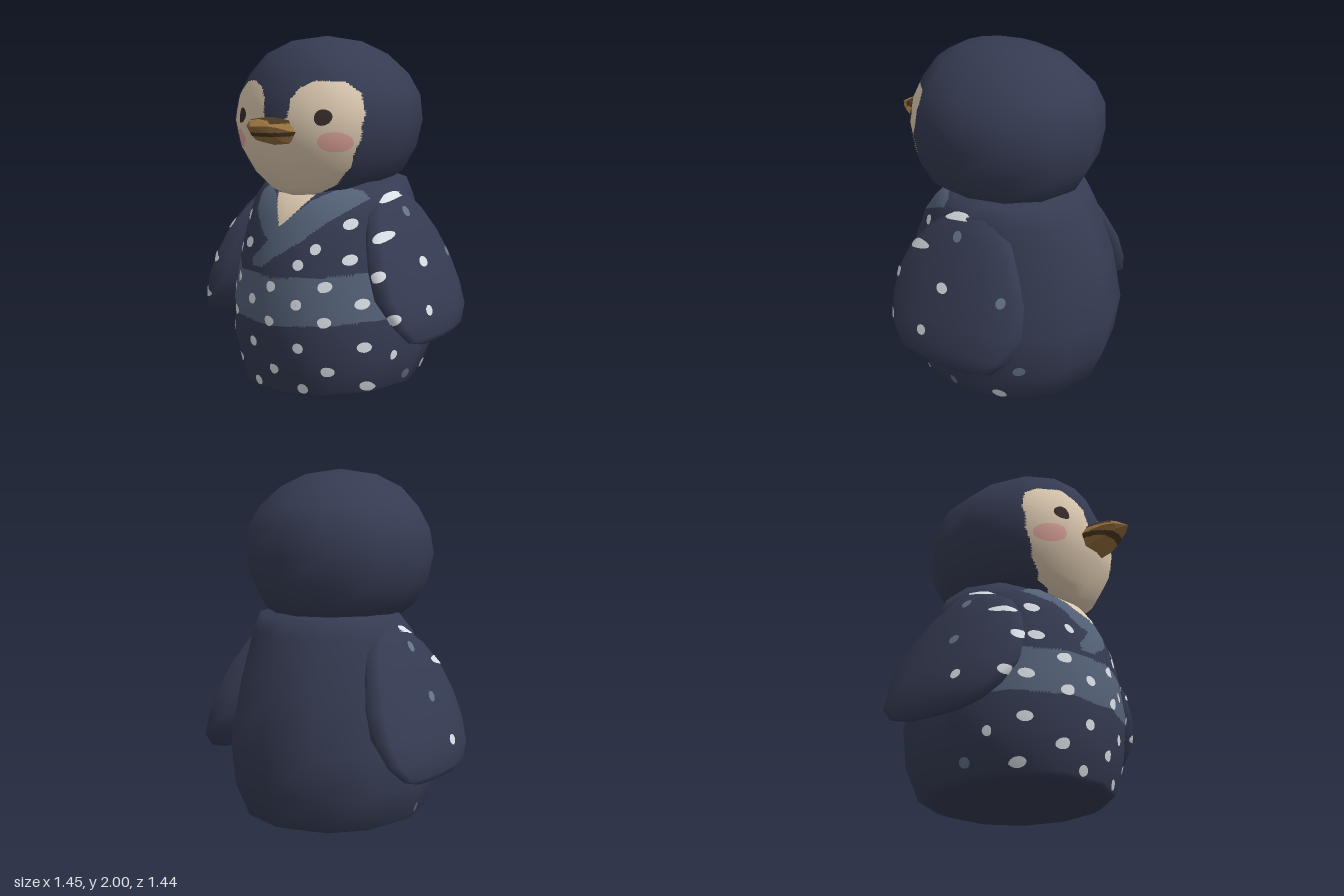
import * as THREE from 'three';

const mat = (name, color) => Object.assign(new THREE.MeshStandardMaterial({ color }), { name });
const navy = mat('navy', 0x353b52);
const sash = mat('slate blue', 0x546177);
const cream = mat('cream', 0xdcc9b0);
const white = mat('pale dot', 0xdde3ea);
const muted = mat('faded dot', 0x67738a);
const blush = mat('blush', 0xe0a59c);
const eyeBrown = mat('eye brown', 0x382d2b);
const beakDark = mat('dark beak', 0x4a3820);
const beakTan = mat('tan beak', 0x96703f);

// Closed loft of oval rings [y, centreX, halfWidth, zFront, zBack] between two poles;
// exponents below 1 make the front or back half of each oval fuller
function loft(rings, yBottom, yTop, { n = 12, flat = false, front = 1, back = 1 } = {}) {
  const pos = [], idx = [];
  for (const [y, cx, hx, zf, zb] of rings)
    for (let i = 0; i < n; i++) {
      const a = (i / n) * Math.PI * 2, c = Math.cos(a);
      const bulge = c > 0 ? c ** front : -((-c) ** back);
      pos.push(cx + hx * Math.sin(a), y, (zf + zb) / 2 + ((zf - zb) / 2) * bulge);
    }
  const first = rings[0], last = rings[rings.length - 1];
  const low = rings.length * n, high = low + 1;
  pos.push(first[1], yBottom, (first[3] + first[4]) / 2, last[1], yTop, (last[3] + last[4]) / 2);
  for (let i = 0; i < n; i++) {
    const k = (i + 1) % n, top = (rings.length - 1) * n;
    idx.push(low, k, i, high, top + i, top + k);
    for (let j = 0; j < rings.length - 1; j++) {
      const a = j * n + i, b = j * n + k;
      idx.push(a, b, b + n, a, b + n, a + n);
    }
  }
  let geo = new THREE.BufferGeometry();
  geo.setAttribute('position', new THREE.Float32BufferAttribute(pos, 3));
  geo.setIndex(idx);
  if (flat) geo = geo.toNonIndexed();
  geo.computeVertexNormals();
  return geo;
}

// Divide each front triangle into n * n cells and sort the cells into material groups by a rule
function paint(geo, n0, mats, rule) {
  const g = geo.index ? geo.toNonIndexed() : geo;
  const P = g.attributes.position, N = g.attributes.normal;
  const buckets = mats.map(() => ({ p: [], n: [] }));
  const corners = (attr, t) => [0, 1, 2].map(k => new THREE.Vector3().fromBufferAttribute(attr, t + k));
  for (let t = 0; t < P.count; t += 3) {
    const tri = corners(P, t), nor = corners(N, t);
    const n = Math.max(...tri.map(v => v.z)) > 0.15 ? n0 : 1;
    const at = (v, [i, j]) => v[0].clone().multiplyScalar(1 - (i + j) / n)
      .addScaledVector(v[1], i / n).addScaledVector(v[2], j / n);
    const cell = c => {
      const p = c.map(q => at(tri, q));
      const mid = p[0].clone().add(p[1]).add(p[2]).divideScalar(3);
      const b = buckets[rule(mid)];
      p.forEach(v => b.p.push(v.x, v.y, v.z));
      c.forEach(q => { const v = at(nor, q).normalize(); b.n.push(v.x, v.y, v.z); });
    };
    for (let i = 0; i < n; i++)
      for (let j = 0; j < n - i; j++) {
        cell([[i, j], [i + 1, j], [i, j + 1]]);
        if (i + j < n - 1) cell([[i + 1, j], [i + 1, j + 1], [i, j + 1]]);
      }
  }
  const out = new THREE.BufferGeometry();
  let start = 0;
  buckets.forEach((b, i) => { out.addGroup(start, b.p.length / 3, i); start += b.p.length / 3; });
  out.setAttribute('position', new THREE.Float32BufferAttribute(buckets.flatMap(b => b.p), 3));
  out.setAttribute('normal', new THREE.Float32BufferAttribute(buckets.flatMap(b => b.n), 3));
  return new THREE.Mesh(out, mats);
}

function inside(poly, x, y) {
  let hit = false;
  for (let i = 0, j = poly.length - 1; i < poly.length; j = i++) {
    const [xi, yi] = poly[i], [xj, yj] = poly[j];
    if ((yi > y) !== (yj > y) && x < ((xj - xi) * (y - yi)) / (yj - yi) + xi) hit = !hit;
  }
  return hit;
}

// Oval plate projected along dir onto the nearest of the target meshes
const UP = new THREE.Vector3(0, 1, 0);
function decal(targets, dir, u, v, rx, ry, material, name) {
  const right = UP.clone().cross(dir), ray = new THREE.Raycaster();
  const cast = (list, a, b) => {
    const from = dir.clone().multiplyScalar(5).addScaledVector(right, a).addScaledVector(UP, b);
    ray.set(from, dir.clone().negate());
    return ray.intersectObjects(list, false)[0];
  };
  const centre = cast(targets, u + 0.001, v + 0.001);
  if (!centre) return new THREE.Group();
  const geo = new THREE.RingGeometry(0.01, 1, 16, 4);
  const P = geo.attributes.position, N = geo.attributes.normal;
  for (let i = 0; i < P.count; i++) {
    let hit = null;
    for (let s = 1; s > 0.1 && !hit; s -= 0.1)
      hit = cast([centre.object], u + 0.001 + P.getX(i) * rx * s, v + 0.001 + P.getY(i) * ry * s);
    hit = hit || centre;
    const p = hit.point.clone().addScaledVector(hit.normal, 0.005);
    P.setXYZ(i, p.x, p.y, p.z);
    N.setXYZ(i, hit.normal.x, hit.normal.y, hit.normal.z);
  }
  const mesh = new THREE.Mesh(geo, material);
  mesh.name = name;
  return mesh;
}

export function createModel() {
  const model = new THREE.Group();
  const add = (mesh, name) => { mesh.name = name; model.add(mesh); return mesh; };

  // Robed body with crossed collar and wide sash
  const bodyGeo = loft([
    [0.03, 0, 0.43, 0.45, -0.49], [0.07, 0, 0.51, 0.505, -0.595], [0.27, 0, 0.575, 0.55, -0.68],
    [0.5, 0, 0.565, 0.58, -0.72], [0.8, 0, 0.51, 0.54, -0.665], [1.0, 0, 0.475, 0.46, -0.58],
    [1.1, 0, 0.452, 0.385, -0.535], [1.2, 0, 0.405, 0.27, -0.48],
  ], 0, 1.24);
  const neckline = [[-0.125, 1.14], [0.125, 1.14], [0, 0.96]];
  const lapelUnder = [[-0.31, 1.13], [-0.23, 1.18], [-0.12, 1.12], [0.01, 0.96], [-0.05, 0.89], [-0.12, 0.92]];
  const lapelOver = [[0.25, 1.18], [0.12, 1.11], [-0.02, 0.95], [-0.17, 0.79], [-0.165, 0.75],
    [-0.08, 0.755], [0.13, 0.9], [0.4, 1.14]];
  add(paint(bodyGeo, 18, [navy, sash, cream], ({ x, y, z }) => {
    if (z < 0.15) return 0;
    if (inside(lapelOver, x, y) || inside(lapelUnder, x, y)) return 1;
    if (inside(neckline, x, y)) return 2;
    const dip = 0.03 * (1 - Math.min(1, Math.abs(x) / 0.5));
    return y > 0.475 - dip && y < 0.735 - dip ? 1 : 0;
  }), 'body');

  // Head with heart-shaped face
  const headGeo = loft([
    [1.13, 0, 0.16, 0.345, -0.25], [1.17, 0, 0.3, 0.385, -0.36], [1.24, 0, 0.41, 0.43, -0.465],
    [1.38, 0, 0.485, 0.505, -0.545], [1.53, 0, 0.52, 0.525, -0.57], [1.67, 0, 0.5, 0.5, -0.565],
    [1.79, 0, 0.43, 0.45, -0.51], [1.9, 0, 0.32, 0.375, -0.385], [1.97, 0, 0.18, 0.24, -0.23],
  ], 1.12, 2, { front: 0.85 });
  const halfFace = [[-0.01, 1.1], [0.12, 1.135], [0.25, 1.2], [0.34, 1.3], [0.41, 1.45], [0.43, 1.58], [0.4, 1.69],
    [0.32, 1.75], [0.2, 1.755], [0.125, 1.72], [0.085, 1.66], [0.075, 1.56], [-0.01, 1.53]];
  add(paint(headGeo, 18, [navy, cream], ({ x, y, z }) =>
    (z > 0.2 && inside(halfFace, Math.abs(x), y) ? 1 : 0)), 'head');

  // Faceted beak, lofted along z
  const beakGeo = loft([[0.44, 0.125, 1.4, 1.56], [0.56, 0.12, 1.43, 1.568], [0.62, 0.098, 1.465, 1.566],
    [0.665, 0.065, 1.495, 1.555]].map(([z, hx, low, high]) => [z, 0, hx, -low, -high]),
  0.43, 0.72, { n: 8, flat: true, front: 0.6, back: 0.6 }).rotateX(Math.PI / 2);
  add(paint(beakGeo, 10, [beakTan, beakDark], ({ y, z }) =>
    ((y > 1.535 && z < 0.645) || Math.abs(y - 1.478) < 0.011 ? 1 : 0)), 'beak');

  // Flat flippers merging into the shoulders: [y, outer x, inner x, zFront, zBack]
  const armRings = [
    [0.345, 0.705, 0.665, 0.12, -0.25], [0.38, 0.725, 0.63, 0.25, -0.37], [0.47, 0.727, 0.545, 0.335, -0.465],
    [0.6, 0.69, 0.45, 0.38, -0.495], [0.75, 0.628, 0.41, 0.37, -0.475], [0.9, 0.566, 0.37, 0.31, -0.405],
    [1.03, 0.5, 0.32, 0.21, -0.32], [1.13, 0.442, 0.28, 0.06, -0.2],
  ];
  const arms = [1, -1].map(s => add(new THREE.Mesh(loft(armRings.map(([y, o, i, zf, zb]) =>
    [y, (s * (o + i)) / 2, (o - i) / 2, zf, zb]), 0.337, 1.17), navy), s > 0 ? 'leftFlipper' : 'rightFlipper'));

  // Coarse copies of the surfaces that receive the painted details
  const bodyTarget = new THREE.Mesh(bodyGeo), headTarget = new THREE.Mesh(headGeo);
  const cloth = [bodyTarget, ...arms];
  const front = new THREE.Vector3(0, 0, 1);

  const dots = new THREE.Group();
  dots.name = 'robeDots';
  model.add(dots);
  for (const [x, y] of [[0, 0.2], [0, 0.475], [0, 0.66], [0.14, 0.78]])
    dots.add(decal(cloth, front, x, y, 0.029, 0.029, white, 'dot'));
  const pairs = [[0.42, 1.115], [0.335, 0.99], [0.5, 0.925], [0.217, 0.865], [0.36, 0.805], [0.545, 0.735],
    [0.28, 0.67], [0.425, 0.57], [0.145, 0.57], [0.29, 0.483], [0.63, 0.515], [0.437, 0.333], [0.147, 0.33],
    [0.288, 0.205], [0.425, 0.105], [0.147, 0.095]];
  // Side dots [z, y, material, radius]: shared ones, then those of each side
  const sideDots = [[0.075, 0.525, white, 0.03], [0.14, 0.265, white, 0.025],
    [-0.03, 1.035, muted, 0.028], [0, 0.125, muted, 0.028]];
  const leftDots = [[-0.01, 0.77, white, 0.038], [-0.28, 0.11, white, 0.042],
    [-0.365, 0.77, muted, 0.027], [-0.41, 0.3, muted, 0.027]];
  const rightDots = [[-0.01, 0.77, muted, 0.03]];
  for (const s of [1, -1]) {
    for (const [x, y] of pairs) dots.add(decal(cloth, front, s * x, y, 0.029, 0.029, white, 'dot'));
    const side = new THREE.Vector3(s, 0, 0);
    for (const [z, y, m, r] of [...sideDots, ...(s > 0 ? leftDots : rightDots)])
      dots.add(decal(cloth, side, -s * z, y, r, 0.028, m, 'sideDot'));
    // Eyes and cheeks
    model.add(decal([headTarget], front, s * 0.262, 1.565, 0.04, 0.042, eyeBrown, 'eye'));
    model.add(decal([headTarget], front, s * 0.307, 1.437, 0.072, 0.053, blush, 'cheek'));
  }
  return model;
}
